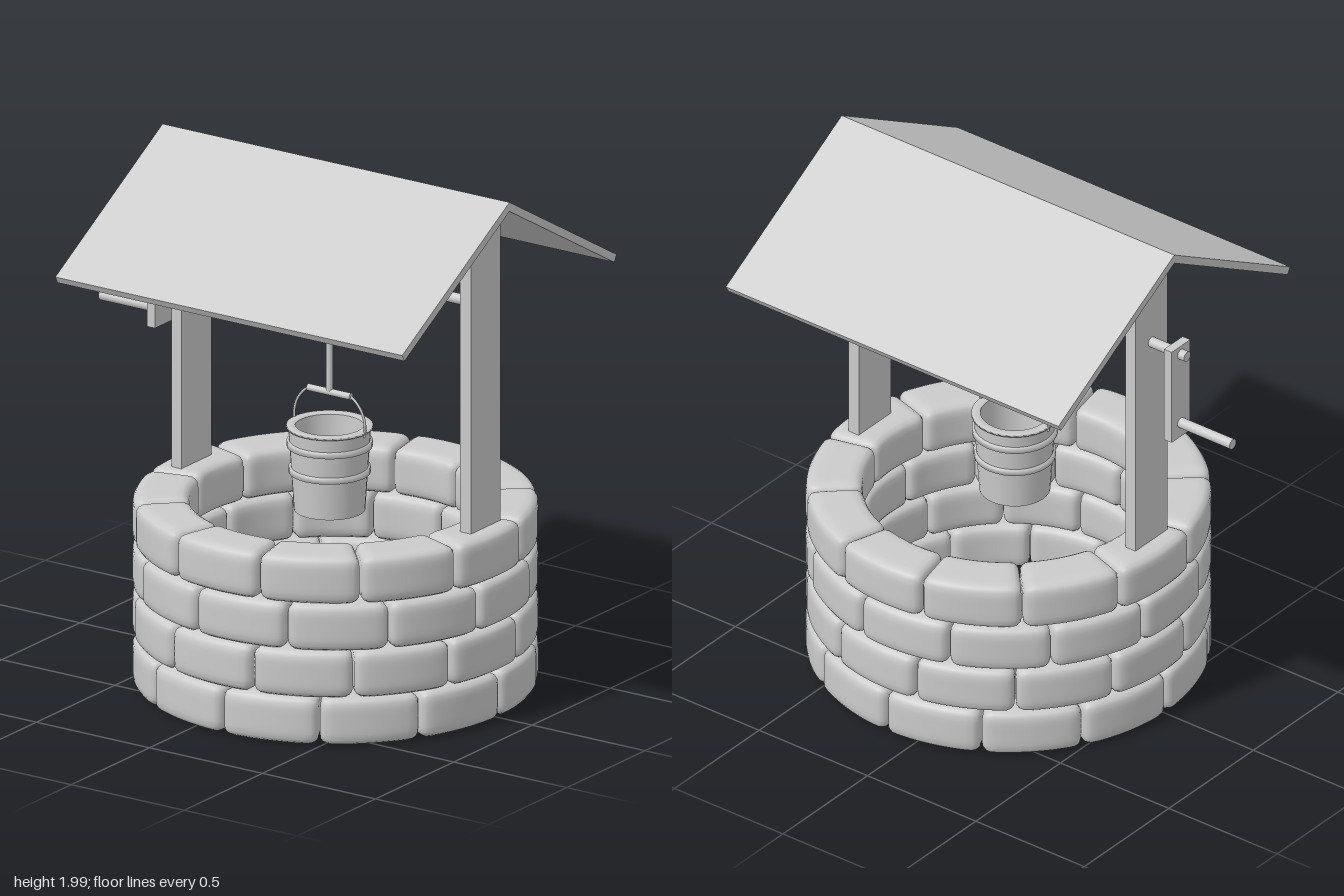
import * as THREE from 'three';
import { mergeVertices } from 'three/addons/utils/BufferGeometryUtils.js';

const CX = 0.13; // axis of the well shaft
const stoneMat = new THREE.MeshStandardMaterial({ color: 0xcccccc });
const doubleMat = new THREE.MeshStandardMaterial({ color: 0xcccccc, side: THREE.DoubleSide });

function add(parent, name, geometry, x = 0, y = 0, z = 0, material = stoneMat) {
  const mesh = new THREE.Mesh(geometry, material);
  mesh.name = name;
  mesh.position.set(x, y, z);
  parent.add(mesh);
  return mesh;
}

// Rounded block bent around the shaft axis
function stoneGeometry(inner, outer, height, angle, r) {
  const mid = (inner + outer) / 2;
  const size = new THREE.Vector3(mid * angle, height, outer - inner);
  let g = new THREE.BoxGeometry(size.x, size.y, size.z, 14, 8, 8);
  g.deleteAttribute('normal');
  g.deleteAttribute('uv');
  g = mergeVertices(g, 1e-4);
  const limit = size.clone().multiplyScalar(0.5).subScalar(r);
  const low = limit.clone().negate();
  const pos = g.attributes.position;
  const p = new THREE.Vector3(), core = new THREE.Vector3();
  for (let i = 0; i < pos.count; i++) {
    p.fromBufferAttribute(pos, i);
    core.copy(p).clamp(low, limit);
    p.sub(core).normalize().multiplyScalar(r).add(core);
    const a = p.x / mid, rad = mid + p.z;
    pos.setXYZ(i, Math.sin(a) * rad, p.y, Math.cos(a) * rad);
  }
  g.computeVertexNormals();
  return g;
}

// Profile in (z, y), extruded along x
function extrudeAlongX(points, x0, x1) {
  const shape = new THREE.Shape(points.map(([z, y]) => new THREE.Vector2(-z, y)));
  const g = new THREE.ExtrudeGeometry(shape, { depth: x1 - x0, bevelEnabled: false });
  g.rotateY(Math.PI / 2);
  g.translate(x0, 0, 0);
  return g;
}

function rod(radius, length, sides = 16) {
  return new THREE.CylinderGeometry(radius, radius, length, sides).rotateZ(Math.PI / 2);
}

export function createModel() {
  const well = new THREE.Group();
  well.name = 'well';

  // Four staggered courses of twelve stones
  const wall = new THREE.Group();
  wall.name = 'stoneWall';
  wall.position.x = CX;
  well.add(wall);
  const count = 12, step = (Math.PI * 2) / count;
  const stone = stoneGeometry(0.53, 0.738, 0.18, step * 0.995, 0.036);
  [0, 10, 20.5, 12].forEach((seam, row) => {
    for (let i = 0; i < count; i++) {
      const s = add(wall, 'stone', stone, 0, 0.098 + row * 0.1805, 0);
      s.rotation.y = THREE.MathUtils.degToRad(seam) + (i + 0.5) * step;
    }
  });

  // Posts with gabled tops
  const postProfile = [[-0.095, 0.7], [0.095, 0.7], [0.095, 1.91], [0, 1.965], [-0.095, 1.91]];
  add(well, 'crankPost', extrudeAlongX(postProfile, -0.53, -0.485));
  add(well, 'farPost', extrudeAlongX(postProfile, 0.747, 0.795));

  // Pitched roof
  const roofProfile = [[0, 2], [-0.685, 1.605], [-0.67, 1.579], [0, 1.965], [0.67, 1.579], [0.685, 1.605]];
  add(well, 'roof', extrudeAlongX(roofProfile, -0.635, 0.9));

  // Axle and crank
  const axleY = 1.585;
  add(well, 'axle', rod(0.02, 1.455), 0.0325, axleY, 0);
  add(well, 'crankArm', new THREE.BoxGeometry(0.035, 0.39, 0.11), -0.648, 1.425, 0);
  add(well, 'crankHandle', rod(0.02, 0.245), -0.7825, 1.29, 0);

  // Rope: coil around the axle, then the hanging length
  const bz = 0.037;
  const coil = [];
  for (let i = 0; i <= 80; i++) {
    const a = (i / 80) * Math.PI * 8 + Math.PI / 2;
    coil.push(new THREE.Vector3((i / 80) * 0.13, axleY + Math.cos(a) * 0.032, Math.sin(a) * 0.032));
  }
  add(well, 'ropeCoil', new THREE.TubeGeometry(new THREE.CatmullRomCurve3(coil), 120, 0.013, 8));
  add(well, 'rope', new THREE.CylinderGeometry(0.013, 0.013, 0.46, 12), CX, 1.36, bz);

  // Bucket
  const bucket = new THREE.Group();
  bucket.name = 'bucket';
  bucket.position.set(CX, 0, bz);
  well.add(bucket);
  const v = (x, y) => new THREE.Vector2(x, y);
  const lathe = (pts) => new THREE.LatheGeometry(pts, 32);
  add(bucket, 'bucketOuter', lathe([v(0, 0.68), v(0.13, 0.68), v(0.13, 0.68), v(0.151, 1)]), 0, 0, 0, doubleMat);
  add(bucket, 'bucketInner', lathe([v(0.126, 1), v(0.108, 0.7), v(0.108, 0.7), v(0, 0.7)]), 0, 0, 0, doubleMat);
  add(bucket, 'bucketRim', lathe([v(0.126, 0.995), v(0.158, 0.995), v(0.158, 1.005), v(0.126, 1.005), v(0.126, 0.995)]), 0, 0, 0, doubleMat);
  for (const [y, r] of [[0.935, 0.157], [0.835, 0.15]]) {
    add(bucket, 'bucketBand', new THREE.CylinderGeometry(r, r - 0.001, 0.022, 32), 0, y, 0).geometry =
      lathe([v(r - 0.015, y - 0.011), v(r, y - 0.011), v(r, y + 0.011), v(r - 0.015, y + 0.011)]).translate(0, -y, 0);
  }

  // Wire bail with a wooden grip
  const bail = [[-0.155, 0.985], [-0.155, 1.04], [-0.135, 1.09], [-0.09, 1.13], [0, 1.13],
    [0.09, 1.13], [0.135, 1.09], [0.155, 1.04], [0.155, 0.985]];
  const path = new THREE.CatmullRomCurve3(bail.map(([x, y]) => new THREE.Vector3(x, y, 0)));
  add(bucket, 'bail', new THREE.TubeGeometry(path, 48, 0.005, 8));
  add(bucket, 'bailGrip', rod(0.013, 0.19, 12), 0, 1.13, 0);

  return well;
}
